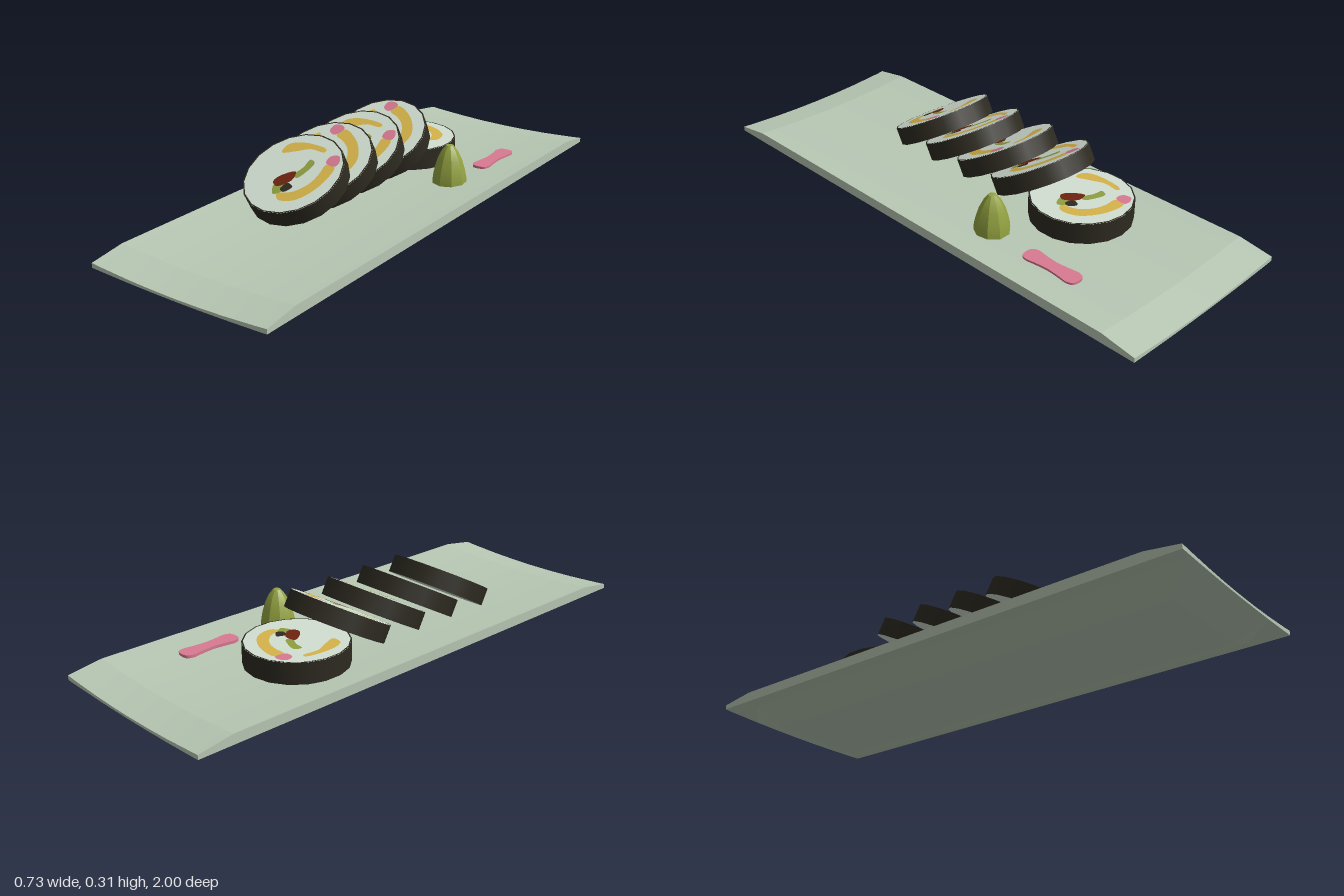
import * as THREE from 'three';
import { toCreasedNormals } from 'three/addons/utils/BufferGeometryUtils.js';

const mat = (name, color, extra = {}) => {
  const m = new THREE.MeshStandardMaterial({ color, ...extra });
  m.name = name;
  return m;
};

const add = (parent, name, geometry, material) => {
  const mesh = new THREE.Mesh(geometry, material);
  mesh.name = name;
  parent.add(mesh);
  return mesh;
};

// Closed smooth outline through a few points
function blob(points) {
  const curve = new THREE.CatmullRomCurve3(
    points.map(([x, y]) => new THREE.Vector3(x, y, 0)), true);
  return new THREE.Shape(curve.getPoints(points.length * 4).slice(0, -1)
    .map(p => new THREE.Vector2(p.x, p.y)));
}

// Long curved tray with a raised foot, lofted along z
function plateGeometry() {
  const xs = [-0.365, -0.32, -0.2, -0.1, 0, 0.1, 0.2, 0.32, 0.365];
  const foot = [0.053, 0.045, 0, 0, 0, 0, 0, 0.045, 0.053];
  const zs = [-1, -0.87, 0.87, 1];
  const n = xs.length, ring = n * 2;
  const pos = [], idx = [];
  for (const z of zs) {
    const end = Math.abs(z) === 1;
    const bend = x => (x / 0.365) ** 2;
    xs.forEach(x => pos.push(x, 0.074 + 0.016 * bend(x) - (end ? 0.02 : 0), z));
    for (let i = n - 1; i >= 0; i--) {
      pos.push(xs[i], end ? 0.045 + 0.008 * bend(xs[i]) : foot[i], z);
    }
  }
  for (let k = 0; k < zs.length - 1; k++) {
    for (let j = 0; j < ring; j++) {
      const a = k * ring + j, b = k * ring + (j + 1) % ring;
      idx.push(a, a + ring, b + ring, a, b + ring, b);
    }
  }
  // Thin faces closing both ends
  const last = (zs.length - 1) * ring;
  for (let i = 0; i < n - 1; i++) {
    const t = i, t2 = i + 1, b = ring - 1 - i, b2 = ring - 2 - i;
    idx.push(last + t, last + b, last + b2, last + t, last + b2, last + t2);
    idx.push(t, b2, b, t, t2, b2);
  }
  const g = new THREE.BufferGeometry();
  g.setAttribute('position', new THREE.Float32BufferAttribute(pos, 3));
  g.setIndex(idx);
  return toCreasedNormals(g, 0.12);
}

export function createModel() {
  const model = new THREE.Group();
  model.name = 'sushiPlate';

  const ceramic = mat('sage ceramic', 0xb8c8b4);
  const nori = mat('dark seaweed', 0x2d2a20);
  const rice = mat('rice', 0xd2dfd2);
  const egg = mat('yellow egg', 0xd6b34a);
  const pink = mat('pink ginger', 0xd87a92);
  const green = mat('cucumber green', 0x8f9f42);
  const red = mat('brown red filling', 0x6e2410);
  const wasabiGreen = mat('wasabi green', 0x93a240);

  add(model, 'plate', plateGeometry(), ceramic);

  // Fillings drawn on the cut face of a roll, stacked in thin layers
  const fillings = [
    ['eggStrip', egg, [[-0.1, 0.07], [-0.1, 0.11], [-0.05, 0.135], [0.06, 0.13],
      [0.06, 0.115], [0, 0.115], [-0.05, 0.09]]],
    ['eggCrescent', egg, [[0.1, 0.065], [0.138, 0.065], [0.14, 0], [0.12, -0.06], [0.08, -0.11],
      [0.02, -0.125], [0, -0.1], [0.05, -0.08], [0.09, -0.03], [0.1, 0.02]]],
    ['pinkPiece', pink, [[0.095, 0.072], [0.095, 0.105], [0.125, 0.115], [0.142, 0.09], [0.138, 0.068]]],
    ['cucumberCore', green, [[0.03, 0.07], [0.055, 0.06], [0.05, 0.02], [0.03, -0.02], [0.01, -0.01],
      [0.025, 0.03]]],
    ['cucumberEnd', green, [[-0.035, -0.07], [-0.01, -0.06], [0.03, -0.06], [-0.01, -0.11]]],
    ['darkPiece', nori, [[0.0, -0.08], [0.01, -0.05], [0.04, -0.06], [0.02, -0.09]]],
    ['redPiece', red, [[-0.045, -0.06], [-0.04, -0.035], [0.01, 0.005], [0.02, -0.035], [-0.02, -0.075]]],
  ].map(([name, m, pts]) => [name, m, new THREE.ShapeGeometry(blob(pts))]);

  const R = 0.186;
  function roll(name, y, z, tilt, thickness, spin) {
    const g = new THREE.Group();
    g.name = name;
    g.position.set(-0.095, y, z);
    g.rotation.x = tilt;
    add(g, 'rollBody', new THREE.CylinderGeometry(R, R, thickness, 18), [nori, rice, rice]);
    // Seaweed edge around the rice
    const rim = add(g, 'seaweedRim', new THREE.RingGeometry(R - 0.005, R, 18), nori);
    rim.rotation.set(-Math.PI / 2, 0, Math.PI / 2);
    rim.position.y = thickness / 2 + 0.001;
    fillings.forEach(([part, m, geo], i) => {
      const mesh = add(g, part, geo, m);
      mesh.rotation.set(-Math.PI / 2, 0, spin);
      mesh.position.y = thickness / 2 + 0.002 + i * 0.0004;
    });
    model.add(g);
  }

  // Four leaning rolls and one lying flat behind them
  [0.303, 0.137, -0.033, -0.206].forEach((z, i) =>
    roll('leaningRoll' + (i + 1), 0.195, z, 0.503, 0.066, i % 2 ? 1.13 : 0));
  roll('flatRoll', 0.122, -0.393, 0, 0.078, 1.5);

  // Wasabi mound
  const profile = [[0, 0.08], [0.065, 0.08], [0.064, 0.1], [0.058, 0.13], [0.046, 0.17],
    [0.03, 0.203], [0.014, 0.223], [0, 0.227]].map(p => new THREE.Vector2(...p));
  const wasabi = add(model, 'wasabi',
    toCreasedNormals(new THREE.LatheGeometry(profile, 9), 0.5), wasabiGreen);
  wasabi.position.set(0.193, 0, -0.24);

  // Folded ginger slice
  const half = [[0.022, -0.112], [0.033, -0.09], [0.029, -0.055], [0.024, 0], [0.029, 0.055],
    [0.033, 0.09], [0.022, 0.112]];
  const outline = [...half, ...[...half].reverse().map(([x, y]) => [-x, y])];
  const ginger = add(model, 'ginger',
    new THREE.ExtrudeGeometry(blob(outline), { depth: 0.012, bevelEnabled: false }), pink);
  ginger.rotation.x = -Math.PI / 2;
  ginger.position.set(0.212, 0.077, -0.535);

  return model;
}
